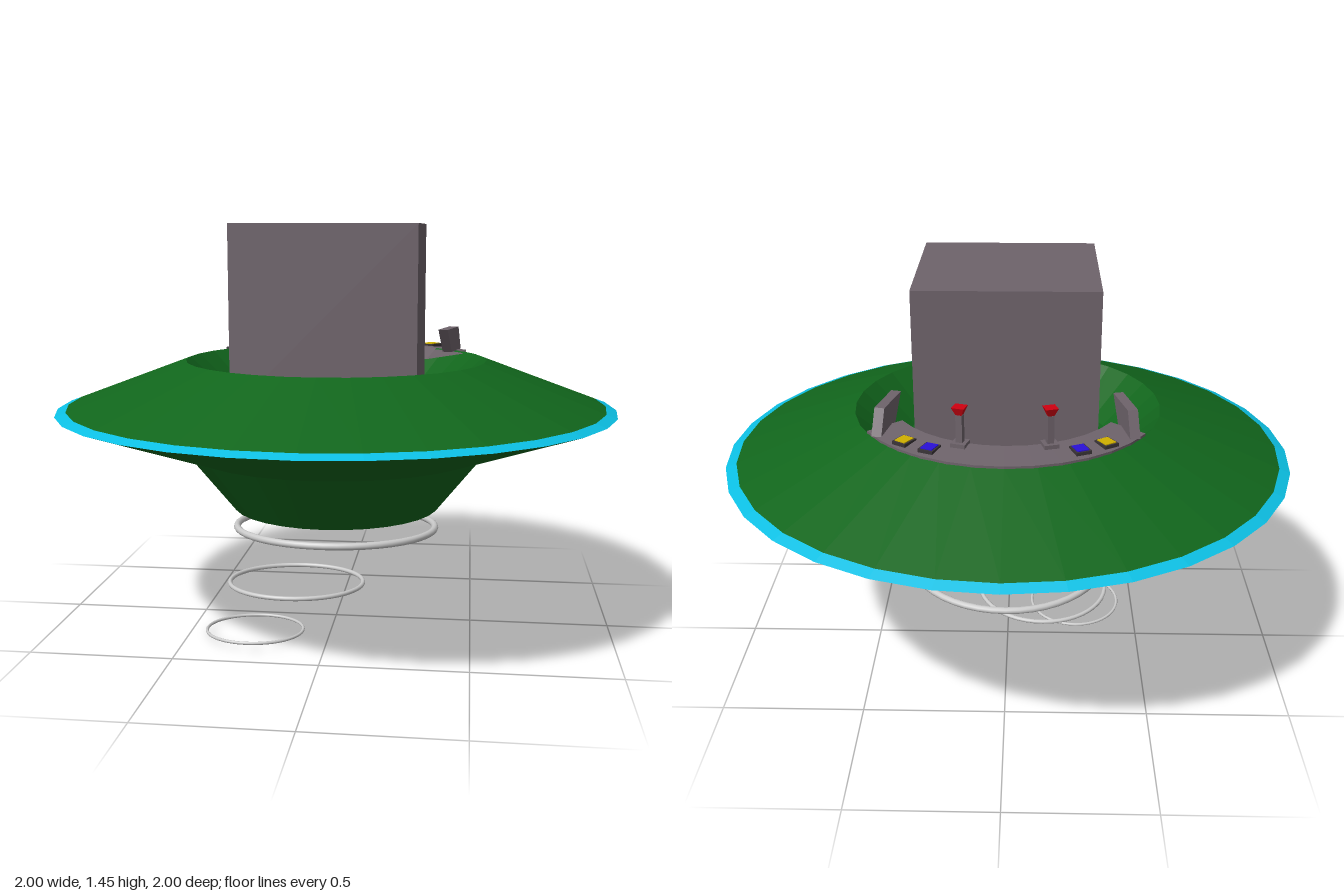
import * as THREE from 'three';

const material = (color) => new THREE.MeshStandardMaterial({ color, flatShading: true, side: THREE.DoubleSide });
const green = material(0x11661c), blue = material(0x0cc0e4), grey = material(0x6e636b);
const red = material(0xd00010), yellow = material(0xd0b000), indigo = material(0x2a10d8), dark = material(0x3a3438);
const metal = new THREE.MeshStandardMaterial({ color: 0xcccccc });

function add(parent, name, geometry, mat, x = 0, y = 0, z = 0) {
  const mesh = new THREE.Mesh(geometry, mat);
  mesh.name = name;
  mesh.position.set(x, y, z);
  parent.add(mesh);
  return mesh;
}

// Profile of [radius, height] pairs turned about y
function lathe(points, segments = 32, start = 0, length = Math.PI * 2) {
  return new THREE.LatheGeometry(points.map(([r, y]) => new THREE.Vector2(r, y)), segments, start, length);
}

export function createModel() {
  const model = new THREE.Group();
  model.name = 'flyingSaucer';

  // Hull with hollow underside and sunken cockpit
  add(model, 'lowerHull', lathe([[0, 0.53], [0.36, 0.53], [0.36, 0.435], [0.375, 0.435], [0.54, 0.64], [1, 0.803]]), green);
  add(model, 'rimBand', lathe([[1, 0.803], [0.962, 0.817]]), blue);
  add(model, 'upperHull', lathe([[0.962, 0.817], [0.54, 0.975]]), green);
  add(model, 'cockpitBowl', lathe([[0.54, 0.975], [0.38, 0.83], [0, 0.83]]), green);

  // Cabin block standing in the cockpit
  add(model, 'cabinBlock', new THREE.BoxGeometry(0.62, 0.62, 0.62), grey, 0, 1.145, 0.08);

  // Curved control console behind the cabin
  const controls = new THREE.Group();
  controls.name = 'console';
  model.add(controls);
  const span = 1.04;
  add(controls, 'consoleDesk', lathe(
    [[0.37, 0.955], [0.54, 0.97], [0.54, 0.983], [0.41, 0.995], [0.37, 0.955]],
    12, Math.PI - span, span * 2), grey);

  for (const side of [-1, 1]) {
    // Leaning end plates
    const outline = new THREE.Shape([
      new THREE.Vector2(0.03, -0.045), new THREE.Vector2(-0.105, -0.045),
      new THREE.Vector2(-0.065, 0.043), new THREE.Vector2(0.095, 0.043),
    ]);
    const plate = new THREE.ExtrudeGeometry(outline, { depth: 0.035, bevelEnabled: false });
    plate.translate(0, 0, -0.0175);
    plate.rotateY(-Math.PI / 2);
    const wing = add(controls, 'consoleEndPlate', plate, grey, side * 0.403, 1.028, -0.22);
    wing.rotation.y = side * -0.24;

    // Push buttons on dark surrounds
    for (const [name, x, z, mat] of [['yellowButton', 0.33, -0.37, yellow], ['blueButton', 0.243, -0.425, indigo]]) {
      const button = new THREE.Group();
      button.name = name;
      button.position.set(side * x, 0.99, z);
      button.rotation.y = -side * Math.atan2(x, -z) * 0.8;
      add(button, 'buttonSurround', new THREE.BoxGeometry(0.054, 0.012, 0.06), dark);
      add(button, 'buttonCap', new THREE.BoxGeometry(0.042, 0.018, 0.048), mat);
      controls.add(button);
    }

    // Joystick: foot, stem and flared grip
    const stick = new THREE.Group();
    stick.name = 'joystick';
    stick.position.set(side * 0.145, 0.99, -0.4);
    stick.rotation.y = -side * 0.3;
    add(stick, 'joystickFoot', new THREE.BoxGeometry(0.05, 0.02, 0.05), grey, 0, 0.005, 0);
    add(stick, 'joystickStem', new THREE.BoxGeometry(0.022, 0.1, 0.022), grey, 0, 0.06, 0);
    const grip = new THREE.CylinderGeometry(0.03, 0.014, 0.028, 4);
    grip.rotateY(Math.PI / 4);
    add(stick, 'joystickGrip', grip, red, 0, 0.123, 0);
    controls.add(stick);
  }

  // Tilted beam rings shrinking and drifting away below
  for (const [x, y, z, radius, tube] of [
    [0, 0.355, 0.005, 0.378, 0.0125],
    [-0.135, 0.162, 0.098, 0.252, 0.008],
    [-0.267, 0.018, 0.222, 0.178, 0.0055],
  ]) {
    const ring = add(model, 'beamRing', new THREE.TorusGeometry(radius - tube, tube, 10, 48), metal, x, y, z);
    ring.rotation.x = Math.PI / 2 - 0.057;
  }
  return model;
}
